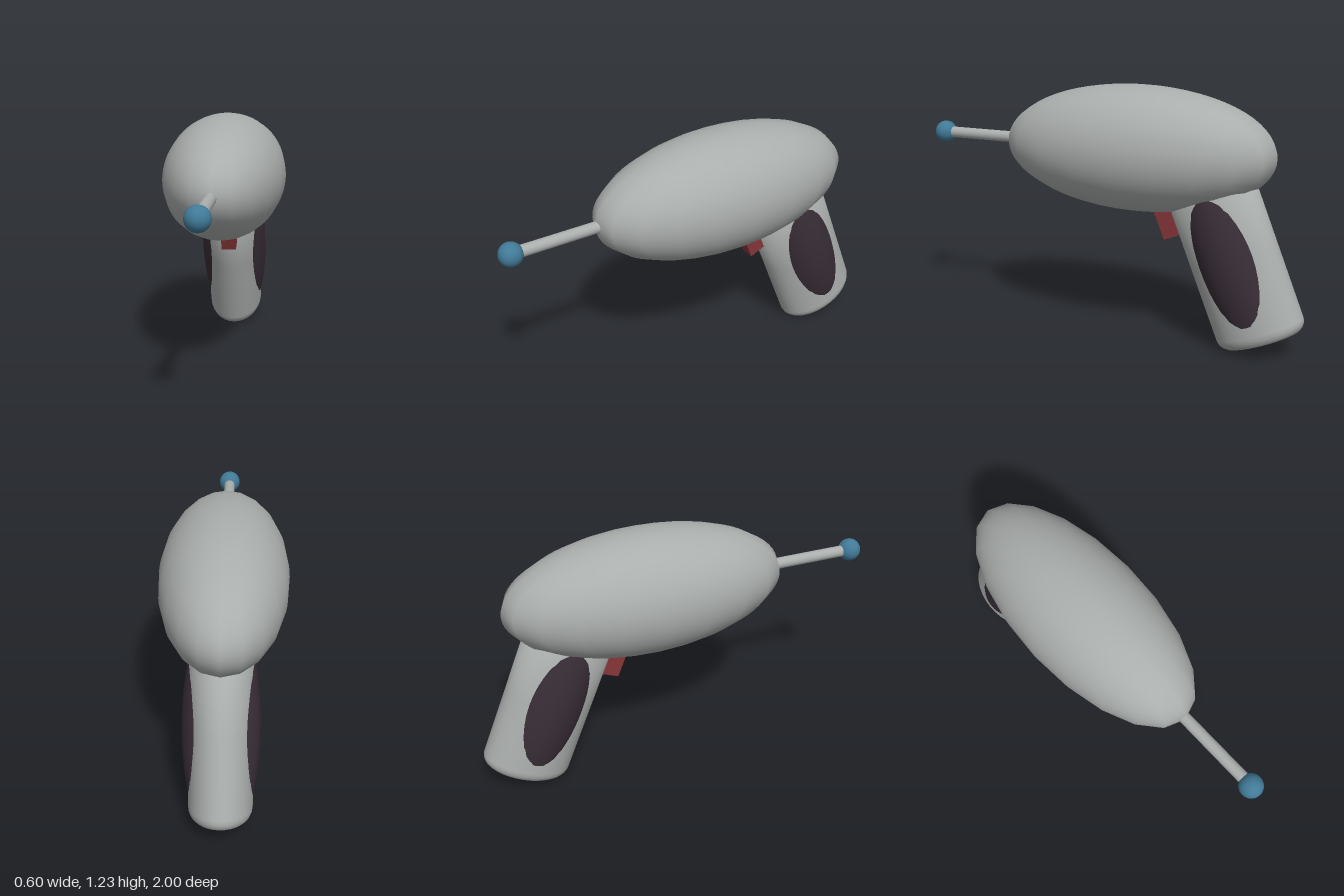
import * as THREE from 'three';

const material = (name, color) => {
  const m = new THREE.MeshStandardMaterial({ color });
  m.name = name;
  return m;
};

export function createModel() {
  const grey = material('metal grey', 0xaaaeac);
  const blue = material('tip blue', 0x417a98);
  const dark = material('grip dark', 0x382d36);
  const red = material('trigger red', 0x853539);

  const model = new THREE.Group();
  model.name = 'toyRayGun';
  const add = (parent, name, geometry, mat, x, y, z) => {
    const mesh = new THREE.Mesh(geometry, mat);
    mesh.name = name;
    mesh.position.set(x, y, z);
    parent.add(mesh);
    return mesh;
  };

  // Long egg-shaped body
  const bodyShape = new THREE.SphereGeometry(1, 20, 32).scale(0.301, 0.301, 0.692);
  add(model, 'body', bodyShape, grey, 0, 0.926, -0.16);

  // Thin barrel with a ball at the muzzle
  const barrelShape = new THREE.CylinderGeometry(0.028, 0.028, 0.5, 20).rotateX(Math.PI / 2);
  add(model, 'barrel', barrelShape, grey, 0, 0.926, 0.68);
  add(model, 'muzzleBall', new THREE.SphereGeometry(0.056, 24, 16), blue, 0, 0.926, 0.943);

  // Handle assembly leans backwards towards the bottom
  const handle = new THREE.Group();
  handle.name = 'handle';
  handle.position.set(0, 0.45, -0.664);
  handle.rotation.x = 0.385;
  model.add(handle);

  // Oval grip with a rounded lower edge
  const profile = [new THREE.Vector2(0, -0.414)];
  for (let i = 0; i <= 4; i++) {
    const a = (i / 4) * Math.PI / 2;
    profile.push(new THREE.Vector2(0.75 + 0.25 * Math.sin(a), -0.359 - 0.055 * Math.cos(a)));
  }
  profile.push(new THREE.Vector2(1, 0), new THREE.Vector2(1, 0.36), new THREE.Vector2(0, 0.36));
  add(handle, 'grip', new THREE.LatheGeometry(profile, 32).scale(0.145, 1, 0.219), grey, 0, 0, 0);

  // Dark bulge showing through both sides of the grip, its ends cut off inside
  const pads = new THREE.SphereGeometry(1, 40, 32).scale(0.175, 0.55, 0.177);
  const p = pads.attributes.position;
  for (let i = 0; i < p.count; i++) p.setY(i, THREE.MathUtils.clamp(p.getY(i), -0.36, 0.35));
  add(handle, 'gripPads', pads, dark, 0, 0, 0);

  // Trigger block between grip and body
  add(handle, 'trigger', new THREE.BoxGeometry(0.076, 0.22, 0.13), red, 0, 0.283, 0.231);

  return model;
}
